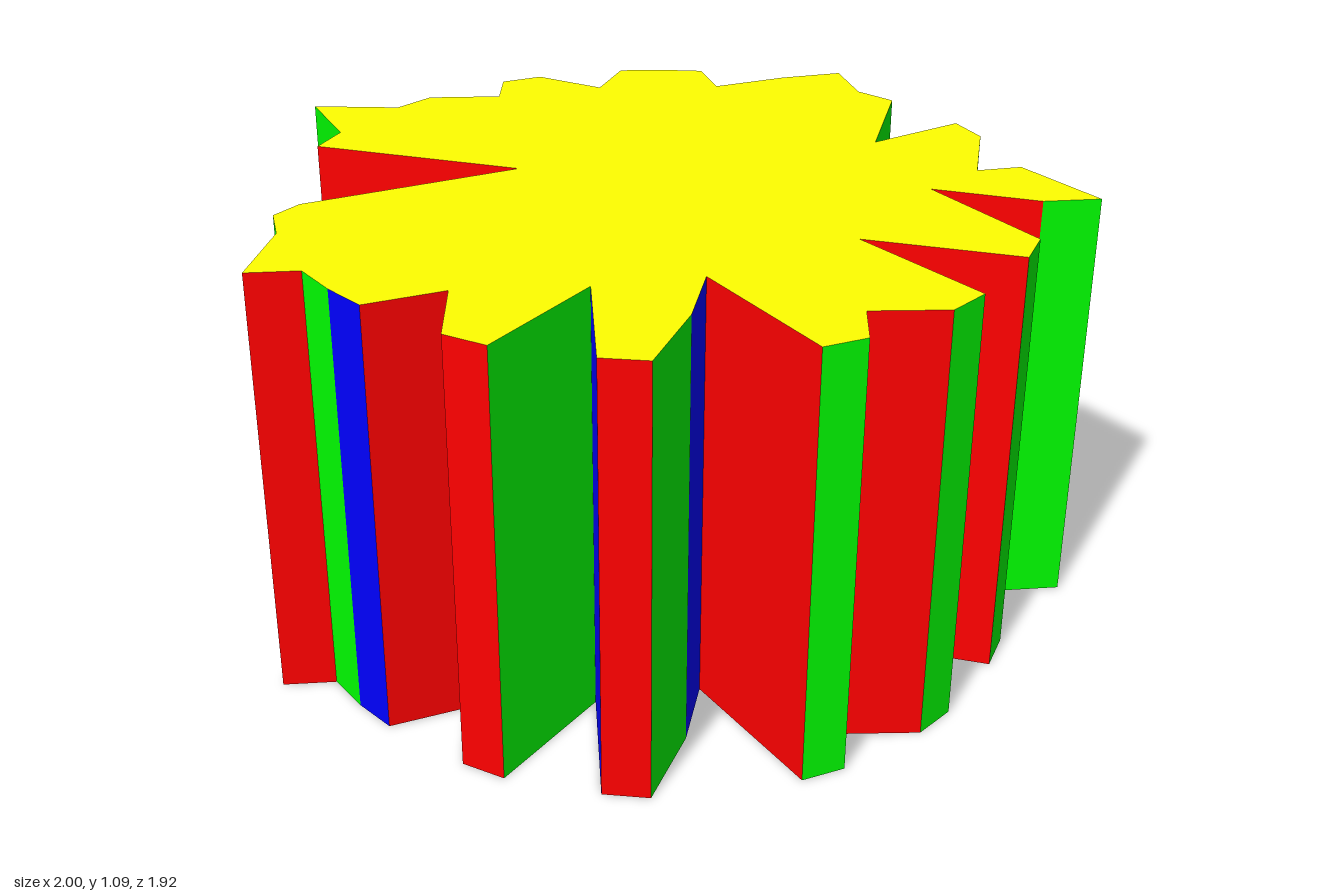
import * as THREE from 'three';

const HEIGHT = 1.09;

// Outline as [x, z], counter-clockwise seen from above
const OUTLINE = [
  [0.15, 0.955], [0.26, 0.945], [0.27, 0.595], [0.475, 0.87], [0.575, 0.82],
  [0.525, 0.595], [0.45, 0.415], [0.825, 0.58], [0.885, 0.49], [0.82, 0.38],
  [0.97, 0.275], [0.99, 0.165], [0.63, 0.05], [0.99, -0.065], [0.97, -0.175],
  [0.63, -0.315], [0.885, -0.39], [0.995, -0.48], [0.75, -0.57], [0.67, -0.49],
  [0.575, -0.715], [0.48, -0.77], [0.37, -0.53], [0.26, -0.84], [0.15, -0.855],
  [0.03, -0.965], [-0.08, -0.845], [-0.195, -0.68], [-0.3, -0.77], [-0.4, -0.715],
  [-0.49, -0.65], [-0.455, -0.495], [-0.645, -0.48], [-0.705, -0.39], [-0.64, -0.285],
  [-0.79, -0.175], [-0.81, -0.065], [-1, 0.05], [-0.81, 0.165], [-0.79, 0.275],
  [-0.275, 0.12], [-0.46, 0.42], [-0.565, 0.59], [-0.57, 0.675], [-0.49, 0.75],
  [-0.4, 0.955], [-0.3, 0.875], [-0.19, 0.915], [-0.08, 0.94], [0.03, 0.78],
];

const WALLS = [['redWalls', 0xff0000], ['greenWalls', 0x00ff00], ['blueWalls', 0x0000ff]];

function part(name, geometry, color) {
  const mesh = new THREE.Mesh(geometry, new THREE.MeshStandardMaterial({ color }));
  mesh.name = name;
  return mesh;
}

// Flat cap: facing is 1 for up, -1 for down
function cap(facing) {
  const shape = new THREE.Shape(OUTLINE.map(([x, z]) => new THREE.Vector2(x, -facing * z)));
  return new THREE.ShapeGeometry(shape).rotateX(-facing * Math.PI / 2);
}

// Every third wall panel, starting at the given index
function wallPanels(first) {
  const positions = [];
  for (let i = first; i < OUTLINE.length; i += 3) {
    const [ax, az] = OUTLINE[i];
    const [bx, bz] = OUTLINE[(i + 1) % OUTLINE.length];
    positions.push(ax, 0, az, bx, 0, bz, bx, HEIGHT, bz);
    positions.push(ax, 0, az, bx, HEIGHT, bz, ax, HEIGHT, az);
  }
  const geometry = new THREE.BufferGeometry();
  geometry.setAttribute('position', new THREE.Float32BufferAttribute(positions, 3));
  geometry.computeVertexNormals();
  return geometry;
}

export function createModel() {
  const group = new THREE.Group();
  group.name = 'jaggedPrism';

  // Yellow caps
  const top = part('topCap', cap(1), 0xffff00);
  top.position.y = HEIGHT;
  group.add(top, part('bottomCap', cap(-1), 0xffff00));

  // Side panels in repeating colours
  WALLS.forEach(([name, color], i) => group.add(part(name, wallPanels(i), color)));
  return group;
}
